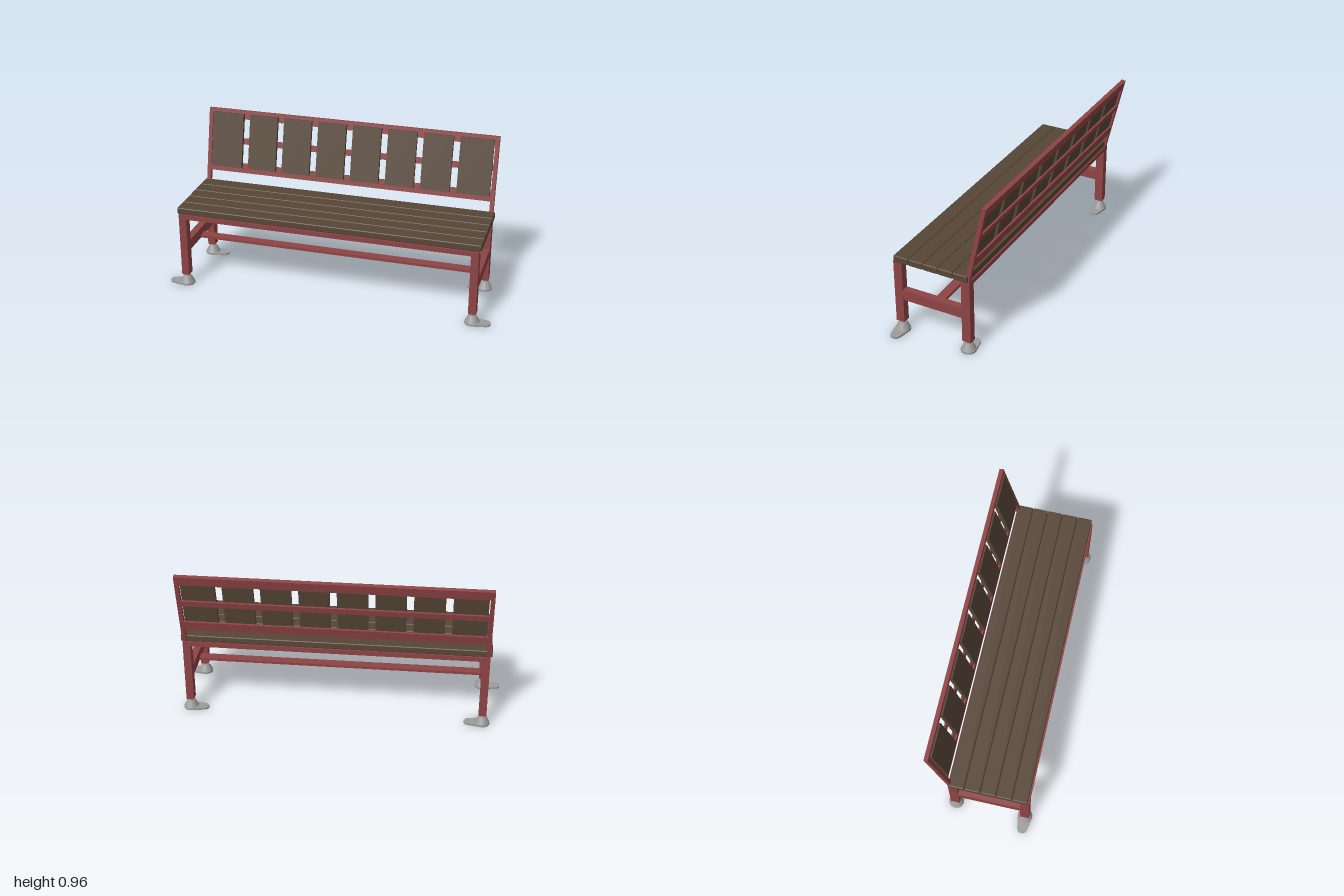
import * as THREE from 'three';
import { RoundedBoxGeometry } from 'three/addons/geometries/RoundedBoxGeometry.js';

export function createModel() {
  const bench = new THREE.Group();
  bench.name = 'bench';
  const mat = (name, color) => {
    const m = new THREE.MeshStandardMaterial({ color });
    m.name = name;
    return m;
  };
  const red = mat('red painted steel', 0x8e4345);
  const wood = mat('brown wood', 0x574637);
  const grey = mat('grey metal', 0x9c9c9c);

  const add = (parent, name, geometry, material, x = 0, y = 0, z = 0) => {
    const mesh = new THREE.Mesh(geometry, material);
    mesh.name = name;
    mesh.position.set(x, y, z);
    parent.add(mesh);
    return mesh;
  };
  // Box given by its lower and upper limits on each axis
  const box = (parent, name, material, [x0, x1], [y0, y1], [z0, z1]) =>
    add(parent, name, new THREE.BoxGeometry(x1 - x0, y1 - y0, z1 - z0), material,
      (x0 + x1) / 2, (y0 + y1) / 2, (z0 + z1) / 2);

  // Seat: five slats with softened edges
  for (let i = 0; i < 5; i++) {
    add(bench, 'seatSlat', new RoundedBoxGeometry(1.846, 0.041, 0.0925, 2, 0.006), wood,
      0, 0.4915, 0.233 - i * 0.094);
  }

  // Foot sole: round heel tapering to a smaller round toe
  const sole = new THREE.Shape();
  const heel = 0.045, toe = 0.031, reach = 0.078;
  const a = Math.acos((heel - toe) / reach);
  sole.absarc(0, 0, heel, a, Math.PI * 2 - a, false);
  sole.absarc(reach, 0, toe, -a, a, false);
  sole.closePath();
  const soleGeometry = new THREE.ExtrudeGeometry(sole, { depth: 0.012, bevelEnabled: false, curveSegments: 20 });
  soleGeometry.rotateX(-Math.PI / 2);

  const foot = (x, z, direction) => {
    const g = new THREE.Group();
    g.name = 'foot';
    g.position.set(x, 0, z);
    g.rotation.y = direction > 0 ? 0 : Math.PI;
    add(g, 'footSole', soleGeometry, grey);
    add(g, 'footCone', new THREE.CylinderGeometry(0.023, 0.044, 0.043, 28), grey, 0, 0.0335, 0);
    add(g, 'footStem', new THREE.CylinderGeometry(0.016, 0.016, 0.02, 20), grey, 0, 0.062, 0);
    bench.add(g);
  };

  // Legs, feet and beams: front toes point outward, back toes inward
  const frontZ = [0.235, 0.288], backZ = [-0.197, -0.143];
  for (const [zs, turn] of [[frontZ, 1], [backZ, -1]]) {
    for (const s of [-1, 1]) {
      const xs = s > 0 ? [0.866, 0.912] : [-0.912, -0.866];
      box(bench, 'leg', red, xs, [0.068, 0.443], zs);
      foot(s * 0.889, (zs[0] + zs[1]) / 2, s * turn);
    }
    box(bench, 'seatBeam', red, [-0.912, 0.912], [0.443, 0.471], zs);
  }
  for (const s of [-1, 1]) {
    const xs = s > 0 ? [0.867, 0.911] : [-0.911, -0.867];
    box(bench, 'sideCrossbar', red, xs, [0.222, 0.286], [-0.143, 0.235]);
  }
  box(bench, 'longStretcher', red, [-0.867, 0.867], [0.224, 0.24], [0.017, 0.075]);

  // Leaning backrest
  const back = new THREE.Group();
  back.name = 'backrest';
  back.position.set(0, 0.512, -0.179);
  back.rotation.x = -0.224;
  bench.add(back);
  const depth = [-0.025, 0], rear = [-0.025, -0.013], inner = [-0.888, 0.888];
  box(back, 'backPost', red, [-0.912, -0.888], [-0.04, 0.457], depth);
  box(back, 'backPost', red, [0.888, 0.912], [-0.04, 0.457], depth);
  box(back, 'topRail', red, inner, [0.436, 0.457], depth);
  box(back, 'bottomRail', red, inner, [0.064, 0.093], depth);
  box(back, 'topLip', red, inner, [0.4, 0.436], rear);
  box(back, 'middleRail', red, inner, [0.243, 0.28], rear);
  box(back, 'bottomLip', red, inner, [0.093, 0.121], rear);

  // Eight upright boards, the outer two slightly wider
  for (const s of [-1, 1]) {
    for (const [x, w] of [[0.11, 0.178], [0.33, 0.178], [0.55, 0.18], [0.782, 0.2]]) {
      add(back, 'backBoard', new THREE.BoxGeometry(w, 0.341, 0.022), wood, s * x, 0.2645, -0.002);
    }
  }
  return bench;
}
